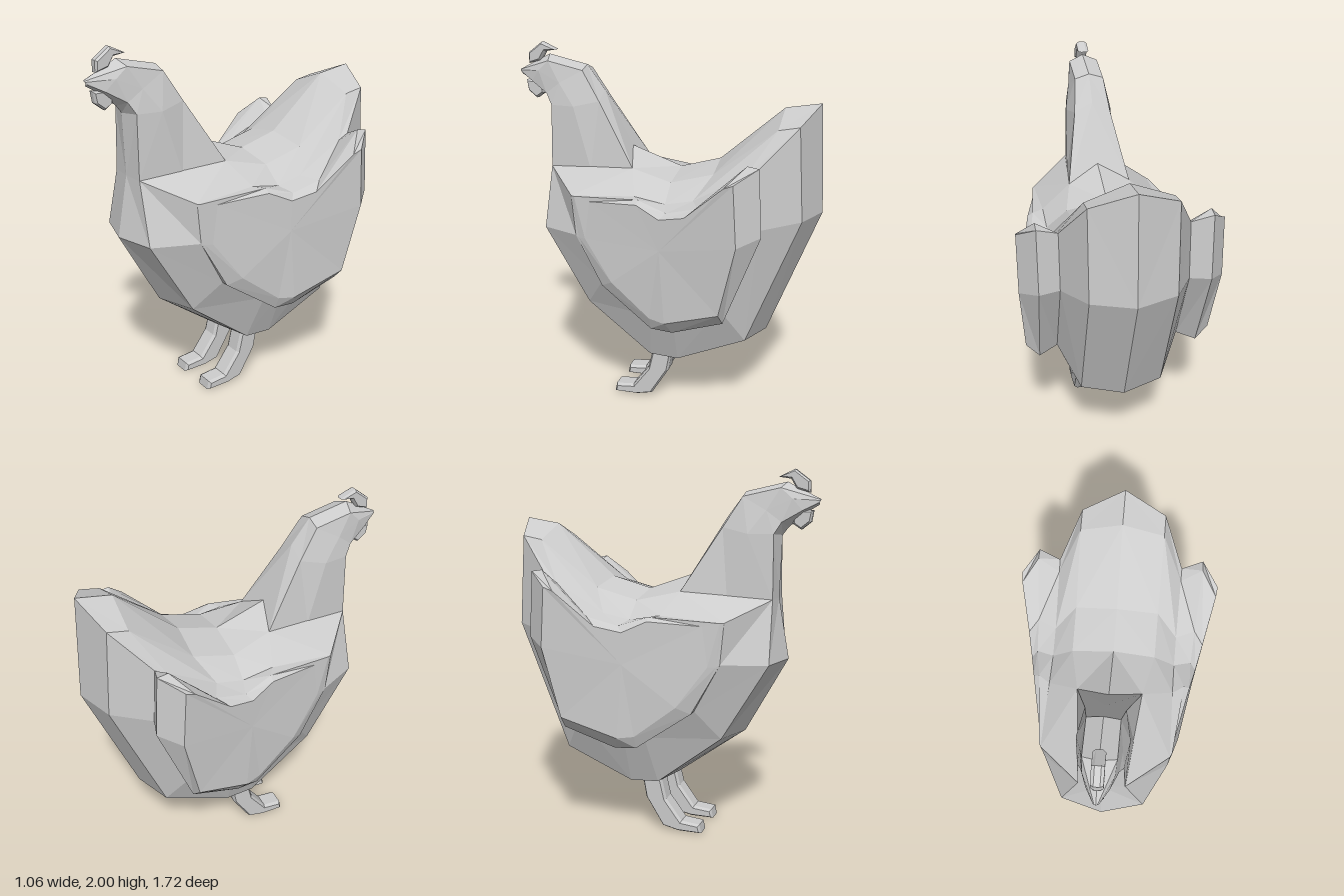
import * as THREE from 'three';

const material = new THREE.MeshStandardMaterial({ color: 0xcccccc, flatShading: true });

// Skins a row of half sections ([x, y, z] points, x >= 0) and mirrors them across x = 0.
function mirroredSkin(name, sections, closed, cap) {
  const pos = [];
  const tri = (a, b, c) => {
    pos.push(...a, ...b, ...c);
    for (const p of [a, c, b]) pos.push(-p[0], p[1], p[2]);
  };
  const n = sections[0].length;
  const steps = closed ? n : n - 1;
  for (let s = 0; s + 1 < sections.length; s++) {
    const a = sections[s], b = sections[s + 1];
    for (let i = 0; i < steps; i++) {
      const j = (i + 1) % n;
      tri(a[i], a[j], b[j]);
      tri(a[i], b[j], b[i]);
    }
  }
  if (cap) {
    const last = sections[sections.length - 1];
    for (let i = 0; i < n; i++) tri(cap, last[i], last[(i + 1) % n]);
  }
  const geo = new THREE.BufferGeometry();
  geo.setAttribute('position', new THREE.Float32BufferAttribute(pos, 3));
  geo.computeVertexNormals();
  const mesh = new THREE.Mesh(geo, material);
  mesh.name = name;
  return mesh;
}

// Extrudes a side outline of [z, y] points to a chamfered slab centred on x.
function slab(name, outline, width, bevel, x = 0) {
  const shape = new THREE.Shape(outline.map(([z, y]) => new THREE.Vector2(z, y)));
  const depth = width - 2 * bevel;
  const geo = new THREE.ExtrudeGeometry(shape, {
    depth, bevelEnabled: true, bevelSegments: 1,
    bevelThickness: bevel, bevelSize: bevel * 0.6, bevelOffset: -bevel * 0.6,
  });
  geo.translate(0, 0, -depth / 2);
  geo.rotateY(-Math.PI / 2);
  const mesh = new THREE.Mesh(geo, material);
  mesh.position.x = x;
  mesh.name = name;
  return mesh;
}

// Side loop of [z, y] points; x is one value or one per point.
const loop = (x, pts) => pts.map(([z, y], i) => [Array.isArray(x) ? x[i] : x, y, z]);

export function createModel() {
  const group = new THREE.Group();
  group.name = 'hen';

  // Body loops from the centre line outwards:
  // breast, belly, rump, tail, back, neck base
  const centre = loop(0, [
    [0.71, 1.0], [0.48, 0.58], [0.1, 0.3], [-0.12, 0.29], [-0.58, 0.44], [-0.86, 1.15],
    [-0.83, 1.73], [-0.64, 1.7], [-0.3, 1.41], [-0.08, 1.35], [0.2, 1.45], [0.65, 1.33]]);
  const flank = loop([0.22, 0.22, 0.22, 0.22, 0.22, 0.22, 0.22, 0.22, 0.22, 0.22, 0.17, 0.12], [
    [0.65, 1.0], [0.4, 0.58], [0.04, 0.3], [-0.12, 0.29], [-0.5, 0.45], [-0.78, 1.15],
    [-0.75, 1.64], [-0.64, 1.62], [-0.31, 1.37], [-0.08, 1.31], [0.15, 1.36], [0.64, 1.33]]);
  // Groove between body and wing
  const groove = loop([0.34, 0.33, 0.33, 0.33, 0.33, 0.33, 0.33, 0.33, 0.33, 0.33, 0.33, 0.34], [
    [0.42, 1.01], [0.28, 0.75], [0, 0.58], [-0.12, 0.57], [-0.38, 0.66], [-0.58, 1.12],
    [-0.56, 1.43], [-0.5, 1.4], [-0.23, 1.25], [-0.08, 1.22], [0.09, 1.25], [0.44, 1.23]]);
  // Wing rim and wing face edge
  const rim = loop([0.345, 0.355, 0.4, 0.4, 0.43, 0.44, 0.44, 0.44, 0.43, 0.42, 0.39, 0.35], [
    [0.4, 1.0], [0.27, 0.74], [-0.02, 0.54], [-0.14, 0.53], [-0.42, 0.63], [-0.61, 1.12],
    [-0.59, 1.47], [-0.53, 1.48], [-0.28, 1.24], [-0.11, 1.2], [0.05, 1.25], [0.42, 1.23]]);
  const face = loop([0.36, 0.4, 0.43, 0.455, 0.5, 0.53, 0.53, 0.525, 0.48, 0.45, 0.42, 0.36], [
    [0.36, 1.0], [0.2, 0.78], [-0.02, 0.61], [-0.11, 0.6], [-0.41, 0.7], [-0.5, 1.08],
    [-0.48, 1.4], [-0.43, 1.38], [-0.22, 1.2], [-0.08, 1.17], [0.05, 1.23], [0.33, 1.21]]);
  group.add(mirroredSkin('body', [centre, flank, groove], true));
  group.add(mirroredSkin('wings', [groove, rim, face], true, [0.45, 1.0, -0.08]));

  // Neck and head: half rings from throat round the side to the nape, ending at the beak tip
  const ring = (...pts) => pts;
  group.add(mirroredSkin('neckAndHead', [
    ring([0, 1.33, 0.65], [0.12, 1.33, 0.64], [0.145, 1.33, 0.4], [0.17, 1.36, 0.15], [0, 1.45, 0.2]),
    ring([0, 1.66, 0.66], [0.11, 1.67, 0.635], [0.13, 1.67, 0.5], [0.1, 1.7, 0.36], [0, 1.75, 0.36]),
    ring([0, 1.7, 0.69], [0.09, 1.73, 0.67], [0.1, 1.79, 0.59], [0.08, 1.86, 0.46], [0, 1.885, 0.46]),
    ring([0, 1.77, 0.77], [0.055, 1.79, 0.77], [0.075, 1.85, 0.72], [0.08, 1.905, 0.66], [0, 1.935, 0.68]),
    ring([0, 1.82, 0.85], [0.012, 1.83, 0.85], [0.012, 1.84, 0.855], [0.008, 1.845, 0.855], [0, 1.845, 0.86]),
  ], false));

  // Comb and wattle
  group.add(slab('comb', [
    [0.8, 1.88], [0.8, 1.94], [0.72, 2.0], [0.635, 1.96], [0.7, 1.95], [0.73, 1.9]], 0.06, 0.015));
  group.add(slab('wattle', [
    [0.82, 1.79], [0.81, 1.73], [0.76, 1.69], [0.715, 1.72], [0.72, 1.79]], 0.06, 0.015));

  // Legs with feet
  const leg = [
    [0.03, 0.35], [0.07, 0.18], [0.16, 0.06], [0.265, 0.05], [0.275, 0],
    [0.14, 0], [0.05, 0.02], [-0.05, 0.18], [-0.08, 0.35]];
  group.add(slab('leftLeg', leg, 0.115, 0.018, 0.12));
  group.add(slab('rightLeg', leg, 0.115, 0.018, -0.12));

  return group;
}
